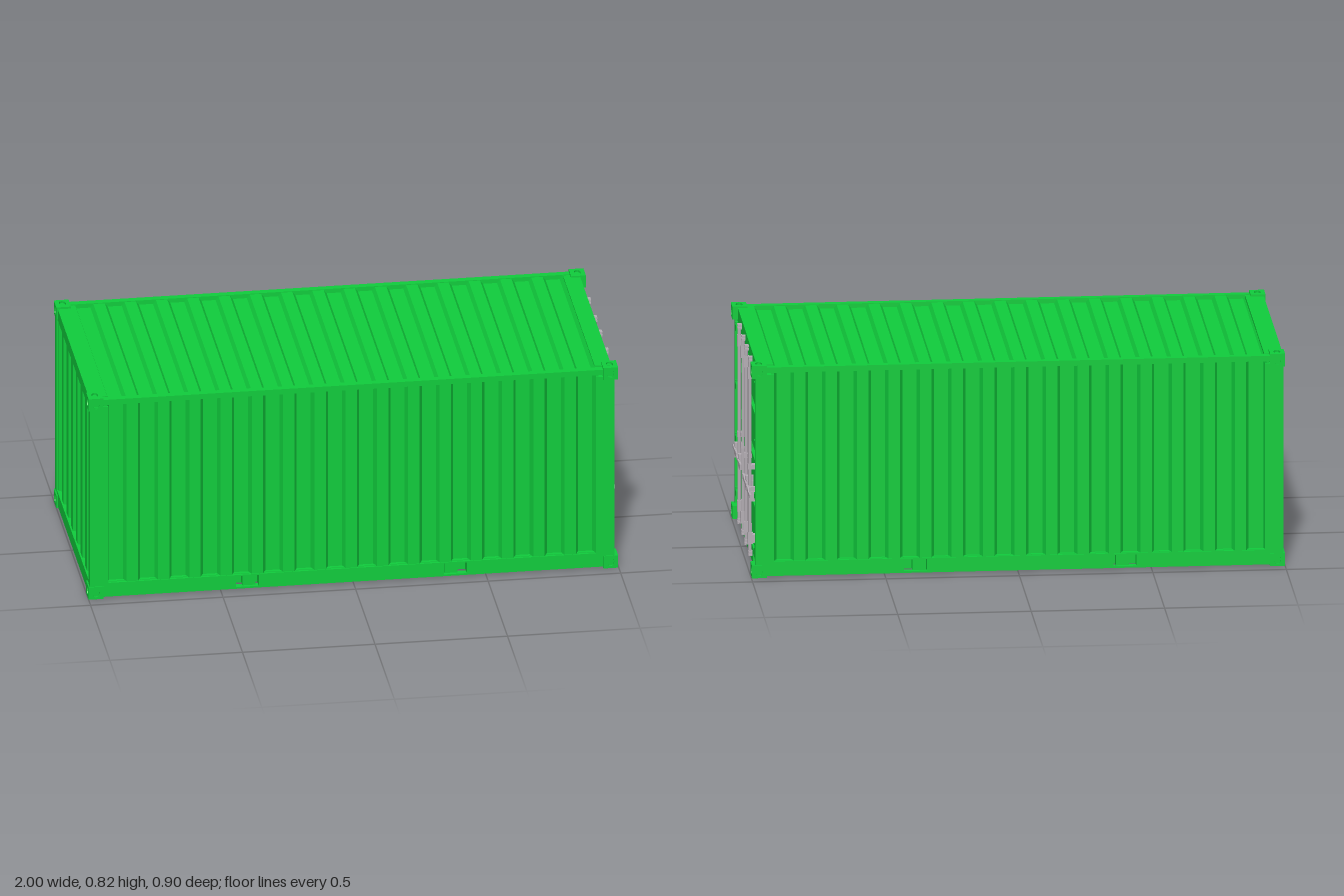
import * as THREE from 'three';

const green = new THREE.MeshStandardMaterial({ color: 0x10cc3c });
const steel = new THREE.MeshStandardMaterial({ color: 0xb4aeb4 });
const V = (x, y, z) => new THREE.Vector3(x, y, z);

function add(parent, name, geo, mat = green) {
  const m = new THREE.Mesh(geo, mat);
  m.name = name;
  parent.add(m);
  return m;
}

// Box given by its limits on each axis
function box(parent, name, x, y, z, mat) {
  const g = new THREE.BoxGeometry(Math.abs(x[1] - x[0]), Math.abs(y[1] - y[0]), Math.abs(z[1] - z[0]));
  g.translate((x[0] + x[1]) / 2, (y[0] + y[1]) / 2, (z[0] + z[1]) / 2);
  return add(parent, name, g, mat);
}

const polygon = pts => new THREE.Shape(pts.map(p => new THREE.Vector2(p[0], p[1])));

function extrude(shape, depth, basis) {
  const g = new THREE.ExtrudeGeometry(shape, { depth, bevelEnabled: false, curveSegments: 6 });
  g.translate(0, 0, -depth / 2);
  if (basis) g.applyMatrix4(new THREE.Matrix4().makeBasis(...basis));
  return g;
}
const FACE_X = [V(0, 0, -1), V(0, 1, 0), V(1, 0, 0)]; // drawn on (-z, y), thick along x
const FACE_Y = [V(1, 0, 0), V(0, 0, -1), V(0, 1, 0)]; // drawn on (x, -z), thick along y
const WALL = [V(1, 0, 0), V(0, 0, 1), V(0, -1, 0)];   // corrugated along x, facing +z
const DOOR = [V(0, 1, 0), V(1, 0, 0), V(0, 0, -1)];   // corrugated along y, facing +x

// Sheet from a to b with trapezoid grooves of width w at the given starts
function corrugated(a, b, starts, w, depth, flank, span, basis) {
  const pts = [[a, 0]];
  for (const s of starts) {
    pts.push([s, 0], [s + flank, -depth], [s + w - flank, -depth], [s + w, 0]);
  }
  pts.push([b, 0], [b, -depth - 0.005], [a, -depth - 0.005]);
  return extrude(polygon(pts), span, basis);
}
const series = (n, start, step) => Array.from({ length: n }, (_, i) => start + i * step);

// Plate with an oval hole
function slotPlate(w, h, hw, hh) {
  const s = polygon([[-w / 2, -h / 2], [w / 2, -h / 2], [w / 2, h / 2], [-w / 2, h / 2]]);
  const hole = new THREE.Path();
  hole.absellipse(0, 0, hw / 2, hh / 2, 0, Math.PI * 2, true);
  s.holes.push(hole);
  return s;
}

// Corner block with slots in its three outer faces
function cornerCasting(parent, sx, top, sz) {
  const g = new THREE.Group();
  g.name = 'cornerCasting';
  const X = 0.056, Y = 0.05, Z = 0.065, t = 0.008, sy = top ? 1 : -1;
  add(g, 'castingCore', new THREE.BoxGeometry(X - t, Y - t, Z - t)).position.set(-sx * t / 2, -sy * t / 2, -sz * t / 2);
  add(g, 'castingEnd', extrude(slotPlate(Z, Y, 0.028, 0.035), t, FACE_X)).position.x = sx * (X - t) / 2;
  add(g, 'castingSide', extrude(slotPlate(X, Y, 0.026, 0.035), t)).position.z = sz * (Z - t) / 2;
  add(g, 'castingCap', extrude(slotPlate(X, Z, 0.026, 0.044), t, FACE_Y)).position.y = sy * (Y - t) / 2;
  g.position.set(sx > 0 ? 0.97 : -0.972, top ? 0.797 : 0.025, sz * 0.4175);
  parent.add(g);
}

function frame(parent) {
  for (const s of [1, -1]) {
    for (const sx of [1, -1]) for (const top of [true, false]) cornerCasting(parent, sx, top, s);
    // Corner posts
    box(parent, 'frontPost', [-0.995, -0.925], [0.04, 0.785], [s * 0.41, s * 0.446]);
    box(parent, 'doorPost', [0.915, 0.985], [0.04, 0.785], [s * 0.43, s * 0.446]);
    box(parent, 'doorPostInner', [0.915, 0.962], [0.04, 0.785], [s * 0.405, s * 0.43]);
    // Side rails
    box(parent, 'topRail', [-0.96, 0.96], [0.793, 0.814], [s * 0.42, s * 0.446]);
    const rail = polygon([[-0.96, 0.008], [0.96, 0.008], [0.96, 0.062], [-0.96, 0.062]]);
    for (const c of [-0.4, 0.385]) {
      rail.holes.push(new THREE.Path([[-0.043, 0.013], [-0.043, 0.057], [0.043, 0.057], [0.043, 0.013]]
        .map(p => new THREE.Vector2(c + p[0], p[1]))));
      box(parent, 'liftPocketBack', [c - 0.045, c + 0.045], [0.01, 0.06], [s * 0.395, s * 0.4]);
      for (const e of [-0.045, 0.045]) {
        box(parent, 'liftPocketCheek', [c + e - 0.002, c + e + 0.002], [0.01, 0.06], [s * 0.395, s * 0.435]);
      }
    }
    add(parent, 'bottomRail', extrude(rail, 0.012)).position.z = s * 0.439;
    box(parent, 'bottomRailLip', [-0.96, 0.96], [0.006, 0.011], [s * 0.415, s * 0.445]);
  }
  // End beams
  box(parent, 'frontHeader', [-0.994, -0.925], [0.768, 0.814], [-0.41, 0.41]);
  box(parent, 'frontSill', [-0.994, -0.94], [0.006, 0.062], [-0.41, 0.41]);
  box(parent, 'doorHeader', [0.915, 0.977], [0.763, 0.816], [-0.41, 0.41]);
  add(parent, 'doorSill', extrude(polygon([
    [-0.41, 0.003], [-0.34, 0.003], [-0.34, 0.043], [-0.252, 0.043], [-0.252, 0.003],
    [0.252, 0.003], [0.252, 0.043], [0.34, 0.043], [0.34, 0.003], [0.41, 0.003],
    [0.41, 0.066], [-0.41, 0.066]]), 0.05, FACE_X)).position.x = 0.952;
}

function shell(parent) {
  const starts = series(16, -0.93, 0.118);
  // Side walls
  for (const s of [1, -1]) {
    const wall = add(parent, 'sideWall', corrugated(-0.94, 0.925, starts, 0.075, 0.02, 0.011, 0.735, WALL));
    wall.position.set(0, 0.4275, s * 0.441);
    if (s < 0) wall.scale.z = -1;
  }
  // Front end wall
  const end = add(parent, 'endWall', corrugated(-0.415, 0.415, series(7, -0.4, 0.121), 0.075, 0.022, 0.013, 0.71, WALL));
  end.rotation.y = -Math.PI / 2;
  end.position.set(-0.988, 0.415, 0);
  // Roof and floor
  add(parent, 'roof', corrugated(-0.94, 0.925, starts, 0.075, 0.014, 0.011, 0.845)).position.y = 0.811;
  box(parent, 'floor', [-0.95, 0.94], [0.055, 0.064], [-0.435, 0.435]);
  for (const x of series(15, -0.9, 0.127)) {
    box(parent, 'crossMember', [x - 0.025, x + 0.025], [0.012, 0.056], [-0.432, 0.432]);
  }
}

// One door on the +z side; the other is its mirror
function door(s) {
  const g = new THREE.Group();
  g.name = s > 0 ? 'leftDoor' : 'rightDoor';
  const zs = (a, b) => [s * a, s * b];
  const panel = add(g, 'doorPanel', corrugated(0.075, 0.755, [0.21, 0.39, 0.57], 0.038, 0.018, 0.009, 0.345, DOOR));
  panel.position.set(0.966, 0, s * 0.217);
  box(g, 'outerStile', [0.935, 0.973], [0.07, 0.76], zs(0.385, 0.412));
  box(g, 'innerStile', [0.935, 0.973], [0.07, 0.76], zs(0.012, 0.05));
  box(g, 'topDoorRail', [0.935, 0.971], [0.748, 0.76], zs(0.012, 0.412));
  box(g, 'bottomDoorRail', [0.935, 0.971], [0.07, 0.082], zs(0.012, 0.412));
  box(g, 'doorSeal', [0.93, 0.966], [0.066, 0.763], zs(0, 0.014));
  // Hinges
  for (const y of [0.735, 0.51, 0.305, 0.095]) {
    const leaf = add(g, 'hinge', extrude(polygon([
      [-0.025, -0.011], [0.008, -0.011], [0.025, -0.017], [0.025, 0.017], [0.008, 0.011], [-0.025, 0.011]]), 0.012, FACE_X));
    leaf.position.set(0.978, y, s * 0.41);
    if (s > 0) leaf.rotation.x = Math.PI;
    const pin = add(g, 'hingePin', new THREE.CylinderGeometry(0.007, 0.007, 0.036, 10));
    pin.position.set(0.978, y, s * 0.426);
  }
  // Locking bars with their brackets, cams and handles
  for (const z of [0.067, 0.228]) {
    const bar = add(g, 'lockingBar', new THREE.CylinderGeometry(0.0065, 0.0065, 0.75, 12), steel);
    bar.position.set(0.986, 0.415, s * z);
    for (const y of [0.735, 0.095]) {
      box(g, 'barBracket', [0.966, 0.979], [y - 0.015, y + 0.015], zs(z - 0.016, z + 0.016), steel);
      box(g, 'barClamp', [0.975, 0.994], [y - 0.022, y + 0.022], zs(z - 0.008, z + 0.008), steel);
    }
    box(g, 'barGuide', [0.964, 0.983], [0.365, 0.381], zs(z - 0.016, z + 0.016), steel);
    box(g, 'barGuideClamp', [0.98, 0.994], [0.363, 0.383], zs(z - 0.008, z + 0.008), steel);
    for (const y of [0.037, 0.79]) {
      for (const e of [-0.006, 0.006]) {
        box(g, 'barCam', [0.974, 0.993], [y + e - 0.0035, y + e + 0.0035], zs(z - 0.011, z + 0.011), steel);
      }
      box(g, 'camCore', [0.975, 0.991], [y - 0.01, y + 0.01], zs(z - 0.006, z + 0.006), steel);
    }
    const lever = add(g, 'handle', extrude(polygon([
      [-0.008, -0.01], [0.03, -0.01], [0.075, -0.005], [0.13, -0.007], [0.13, 0.007], [0.075, 0.005], [0.03, 0.01], [-0.008, 0.01]
    ].map(p => [p[0], p[1]])), 0.007, FACE_X), steel);
    lever.position.set(0.9955, 0.29, s * z);
    if (s > 0) lever.rotation.x = Math.PI;
    const c = z + 0.083;
    box(g, 'handleCatch', [0.962, 0.992], [0.28, 0.3], zs(c - 0.012, c + 0.012), steel);
    for (const y of [0.27, 0.308]) {
      box(g, 'catchTab', [0.964, 0.997], [y - 0.009, y + 0.009], zs(c - 0.009, c + 0.009), steel);
    }
  }
  return g;
}

export function createModel() {
  const model = new THREE.Group();
  model.name = 'shippingContainer';
  frame(model);
  shell(model);
  model.add(door(1), door(-1));
  // Rounded cover over the meeting edge of the doors
  const cover = polygon([[0.042, -0.017], [0.042, 0.017]]);
  cover.lineTo(0.005, 0.017);
  cover.absarc(0.005, 0, 0.017, Math.PI / 2, Math.PI * 1.5, false);
  add(model, 'lockCover', extrude(cover, 0.024, FACE_X)).position.set(0.976, 0.408, 0);
  return model;
}
